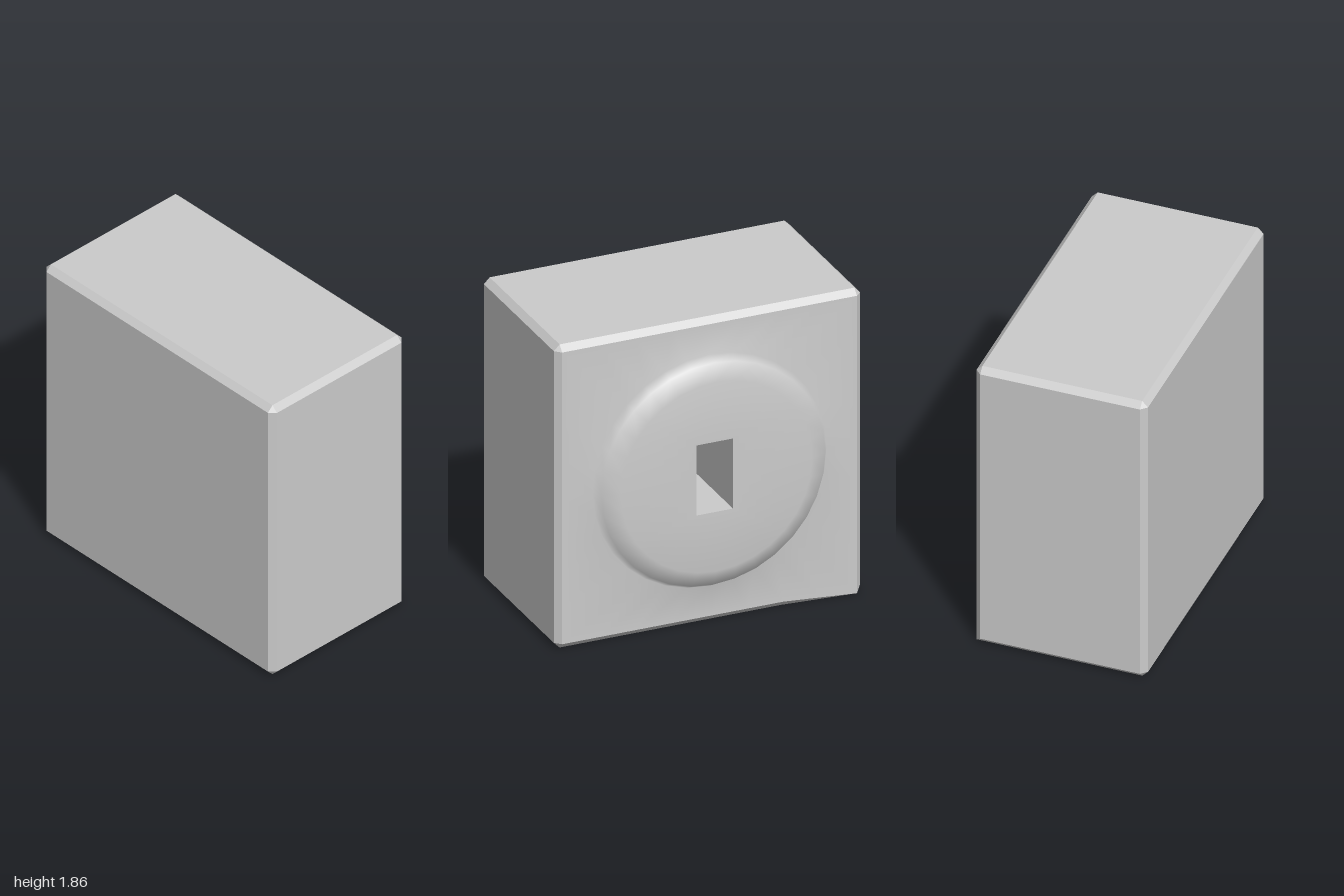
import * as THREE from 'three';

const HALF = 0.93;    // half height and half depth of the block
const INSET = 0.895;  // the same, inside the chamfer
const SEG = 32;       // points around the raised disc
const material = (flatShading) => new THREE.MeshStandardMaterial({ color: 0xcccccc, flatShading });

// Joins cross-sections (arrays of [x, y, z], counter-clockwise seen from +x).
function loft(name, rings, flat) {
  const n = rings[0].length;
  const index = [];
  for (let i = 0; i < rings.length - 1; i++) {
    for (let j = 0; j < n; j++) {
      const k = (j + 1) % n;
      const a = i * n + j, b = i * n + k, c = a + n, d = b + n;
      index.push(a, b, d, a, d, c);
    }
  }
  const geometry = new THREE.BufferGeometry();
  geometry.setAttribute('position', new THREE.Float32BufferAttribute(rings.flat(2), 3));
  geometry.setIndex(index);
  geometry.computeVertexNormals();
  const mesh = new THREE.Mesh(geometry, material(flat));
  mesh.name = name;
  return mesh;
}

// Ring of SEG points: fn maps the unit direction (y, z) to [y, z].
function ring(x, fn) {
  return Array.from({ length: SEG }, (_, i) => {
    const a = (i / SEG) * Math.PI * 2;
    return [x, ...fn(Math.cos(a), Math.sin(a), i)];
  });
}
const circle = (x, r) => ring(x, (y, z) => [y * r, z * r]);

// Evenly spaced points along a rectangle, SEG / 4 per side.
const side = SEG / 4;
const wave = (i) => {
  const t = ((i % SEG) + SEG) % SEG;
  if (t <= side / 2 || t >= SEG - side / 2) return 1;
  if (t < side * 1.5) return 1 - (t - side / 2) * 2 / side;
  if (t <= side * 2.5) return -1;
  return -1 + (t - side * 2.5) * 2 / side;
};
const rect = (x, hy, hz, cz = 0) => ring(x, (y, z, i) => [wave(i) * hy, wave(i - side) * hz + cz]);

export function createModel() {
  const group = new THREE.Group();
  group.name = 'block';

  // Chamfered block, open on the +x side
  const outline = (x, h, w, cornerDrop = 0) => [
    [x, h, -w], [x, h, w], [x, w, h], [x, -w, h],
    [x, -h, w], [x, -h, -INSET / 2], [x, -h - cornerDrop, -w],
    [x, -w - cornerDrop, -h], [x, w, -h],
  ];
  const centre = (x) => outline(x, 0, 0).map(() => [x, 0, 0]);
  group.add(loft('body', [
    centre(-0.53),
    outline(-0.53, INSET, INSET),
    outline(-0.495, HALF, INSET),
    outline(0.453, HALF, INSET),
    outline(0.488, INSET, INSET, HALF - INSET),
  ], true));

  // Smooth face with raised disc; its lower edge dips at the back corner
  const edge = rect(0.488, INSET, INSET).map(([x, y, z]) => {
    const dip = y < -INSET + 0.001 ? Math.max(0, (-z / INSET - 0.5) * 2) : 0;
    return [x, y - dip * (HALF - INSET), z];
  });
  group.add(loft('raisedFace', [
    edge,
    circle(0.488, 0.71),
    circle(0.54, 0.68),
    circle(0.582, 0.58),
    rect(0.582, 0.215, 0.11, 0.01),
  ], false));

  // Deep rectangular slot
  group.add(loft('slot', [
    rect(0.582, 0.215, 0.11, 0.01),
    rect(-0.17, 0.215, 0.11, 0.01),
    rect(-0.17, 0, 0, 0.01),
  ], true));

  group.rotation.y = -0.174;
  group.position.y = HALF;
  const model = new THREE.Group();
  model.add(group);
  return model;
}
